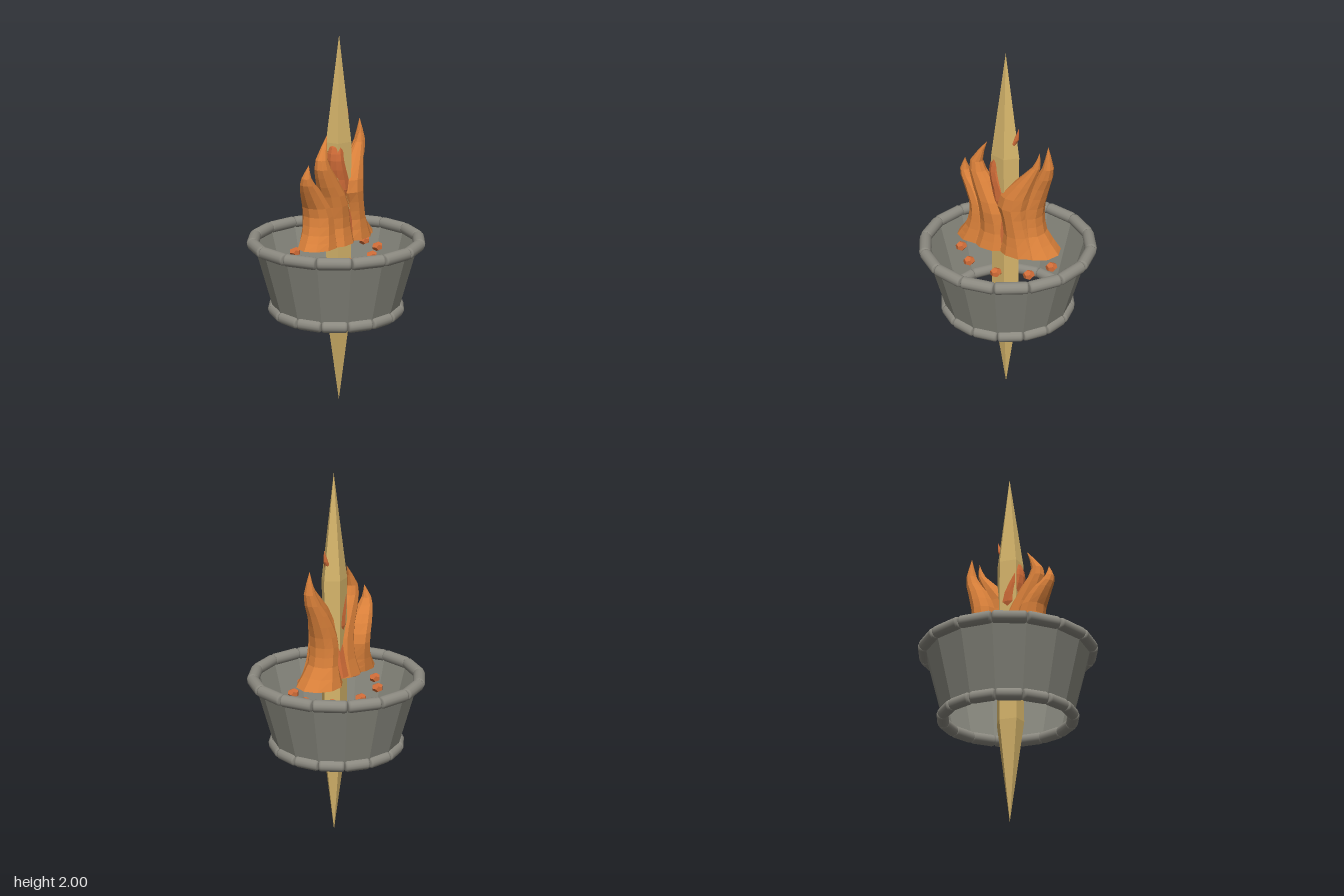
import * as THREE from 'three';

const mat = (name, color, opts = {}) => {
  const m = new THREE.MeshStandardMaterial({ color, ...opts });
  m.name = name;
  return m;
};

// Closed loft of horizontal elliptical sections, rows: [x, y, z, rx, rz]
function loft(rows, sides, steps) {
  const centres = new THREE.CatmullRomCurve3(rows.map(r => new THREE.Vector3(r[0], r[1], r[2])));
  const radii = new THREE.CatmullRomCurve3(rows.map(r => new THREE.Vector3(r[3], r[4], 0)));
  const pos = [], index = [];
  for (let j = 0; j <= steps; j++) {
    const c = centres.getPoint(j / steps), r = radii.getPoint(j / steps);
    for (let i = 0; i < sides; i++) {
      const a = (i / sides) * Math.PI * 2;
      pos.push(c.x + Math.max(r.x, 0) * Math.cos(a), c.y, c.z + Math.max(r.y, 0) * Math.sin(a));
      if (j < steps) {
        const p = j * sides + i, q = j * sides + (i + 1) % sides;
        index.push(p, p + sides, q, q, p + sides, q + sides);
      }
    }
  }
  // bottom cap
  for (let i = 1; i < sides - 1; i++) index.push(0, i, i + 1);
  const g = new THREE.BufferGeometry();
  g.setAttribute('position', new THREE.Float32BufferAttribute(pos, 3));
  g.setIndex(index);
  g.computeVertexNormals();
  return g;
}

export function createModel() {
  const model = new THREE.Group();
  model.name = 'brazier';
  const wallStone = mat('wall stone', 0x87877d, { flatShading: true, side: THREE.DoubleSide });
  const rimStone = mat('rim stone', 0x8b8980);
  const gold = mat('gold', 0xd6b56b, { flatShading: true });
  const orange = mat('flame orange', 0xd9803a, { flatShading: true });
  const red = mat('ember red', 0xd06c38, { flatShading: true });

  const add = (name, geometry, material, parent = model) => {
    const m = new THREE.Mesh(geometry, material);
    m.name = name;
    parent.add(m);
    return m;
  };

  // Open tapered basin
  const N = 16;
  add('basinWall', new THREE.CylinderGeometry(0.44, 0.34, 0.37, N, 1, true), wallStone).position.y = 0.725;

  // Rims made of rounded rods laid end to end
  function rim(name, radius, y, r) {
    const group = new THREE.Group();
    group.name = name;
    const h = radius * Math.sin(Math.PI / N), b = 0.012;
    const half = [[0, h], [r - b, h], [r - b * 0.3, h - b * 0.3], [r, h - b]];
    const profile = [...half.map(([x, v]) => [x, -v]), ...half.slice().reverse()];
    const rod = new THREE.LatheGeometry(profile.map(p => new THREE.Vector2(...p)), 14);
    for (let i = 0; i < N; i++) {
      const a = ((i + 0.5) / N) * Math.PI * 2;
      const m = add(name + 'Rod', rod, rimStone, group);
      const d = radius * Math.cos(Math.PI / N);
      m.position.set(d * Math.cos(a), y, d * Math.sin(a));
      m.rotation.set(Math.PI / 2, 0, a, 'XYZ');
    }
    model.add(group);
  }
  rim('topRim', 0.448, 0.912, 0.032);
  rim('bottomRim', 0.341, 0.542, 0.031);

  // Five-sided spike through the middle
  const spike = new THREE.CylinderGeometry(0.08, 0.08, 1, 5, 3);
  const p = spike.attributes.position;
  const levels = [[0, 0], [0.53, 1], [1.45, 1], [2, 0]];
  for (let i = 0; i < p.count; i++) {
    const [y, s] = levels[Math.round((p.getY(i) + 0.5) * 3)];
    const x = p.getX(i), z = p.getZ(i);
    // a point of the pentagon faces +x
    p.setXYZ(i, z * s, y, -x * s * 0.8 + 0.018);
  }
  add('spike', spike, gold);

  // Outer flame tongues
  const flames = new THREE.Group();
  flames.name = 'flames';
  model.add(flames);
  const tongues = [
    [[-0.18, 0.92, 0.01, 0.12, 0.1], [-0.16, 1.0, 0, 0.085, 0.09], [-0.155, 1.1, -0.01, 0.07, 0.085],
      [-0.21, 1.21, -0.01, 0.058, 0.06], [-0.262, 1.29, 0, 0.028, 0.03], [-0.255, 1.365, 0.01, 0, 0]],
    [[-0.06, 0.92, 0.02, 0.13, 0.11], [-0.05, 1.02, 0.02, 0.1, 0.085], [-0.07, 1.15, 0.03, 0.082, 0.075],
      [-0.13, 1.27, 0.03, 0.065, 0.055], [-0.172, 1.37, 0.03, 0.037, 0.035], [-0.11, 1.5, 0.02, 0, 0]],
    [[0.1, 0.92, 0.03, 0.13, 0.1], [0.09, 1.02, 0.03, 0.085, 0.085], [0.075, 1.11, 0.035, 0.075, 0.08],
      [0.06, 1.21, 0.045, 0.088, 0.07], [0.13, 1.34, 0.03, 0.05, 0.045], [0.185, 1.43, 0.02, 0.02, 0.02], [0.2, 1.51, 0.02, 0, 0]],
    [[0.17, 0.92, -0.02, 0.13, 0.12], [0.14, 1.04, -0.02, 0.07, 0.085], [0.13, 1.15, -0.02, 0.07, 0.08],
      [0.17, 1.28, -0.02, 0.06, 0.058], [0.23, 1.41, -0.01, 0.033, 0.035], [0.232, 1.54, -0.01, 0, 0]],
  ];
  tongues.forEach(t => add('flameTongue', loft(t, 10, 11), orange, flames));

  // Inner flame weaving through the spike
  add('innerFlame', loft([[0.01, 0.93, 0.01, 0.09, 0.09], [0.01, 1.1, 0.02, 0.06, 0.06],
    [-0.01, 1.24, 0.02, 0.06, 0.06], [-0.045, 1.36, 0.025, 0.042, 0.05], [-0.03, 1.44, 0.025, 0.035, 0.035],
    [0.058, 1.54, 0.02, 0.016, 0.015], [0.078, 1.615, 0.02, 0, 0]], 10, 14), red, flames);

  // Ring of embers
  const ember = new THREE.DodecahedronGeometry(0.032);
  for (let i = 0; i < 9; i++) {
    const a = (i / 9) * Math.PI * 2;
    const m = add('ember', ember, red);
    m.position.set(0.27 * Math.cos(a), 0.85, 0.2 * Math.sin(a));
    m.scale.y = 0.8;
  }
  return model;
}
